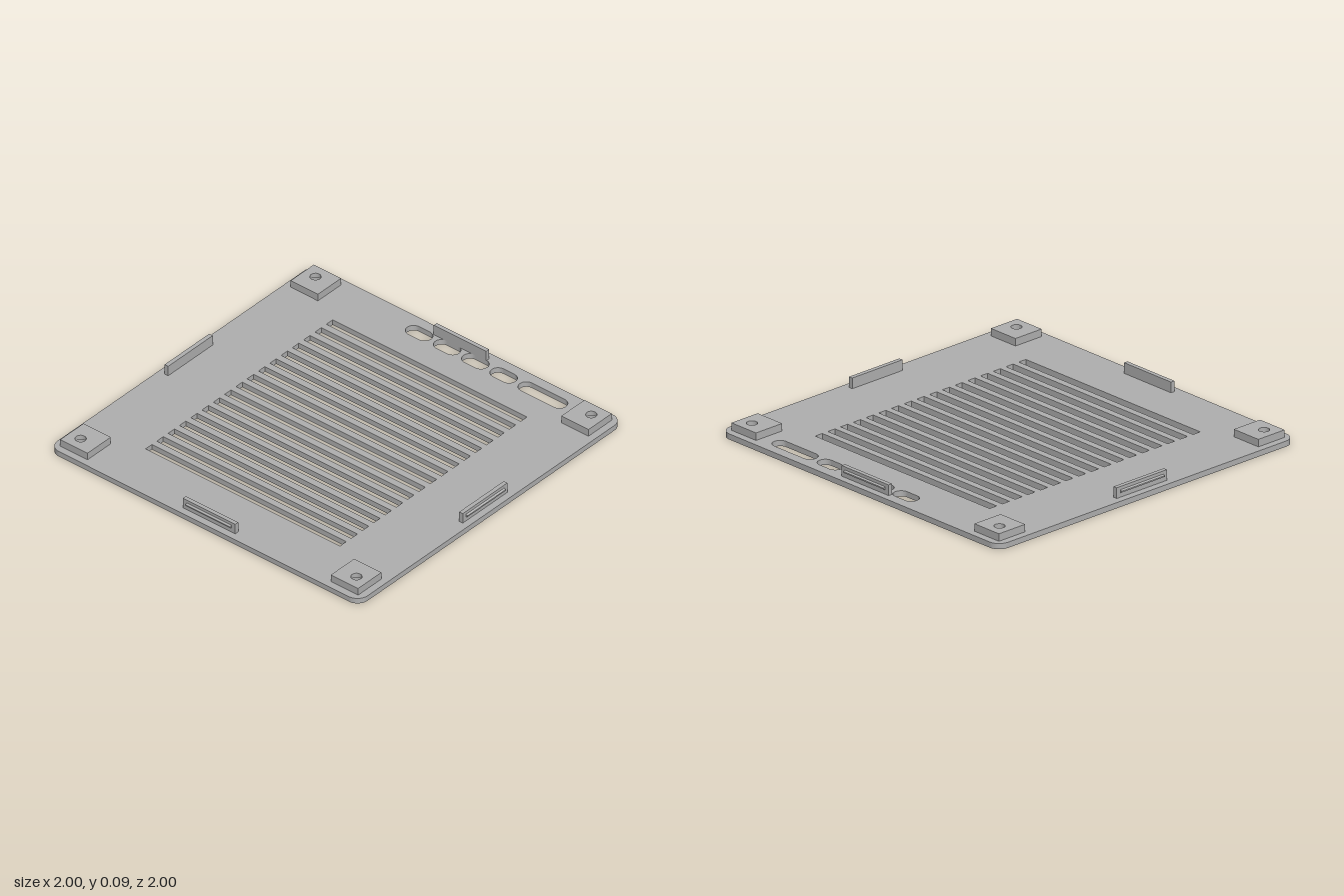
import * as THREE from 'three';

const PLATE_TOP = 0.03, PAD_TOP = 0.07, RECESS_TOP = 0.045;
const HOLE = 0.89, RECESS_R = 0.048, SCREW_R = 0.028;

// Rounded rectangle outline between two corners; r = 0 gives sharp corners
function outline(path, x0, y0, x1, y1, r = 0) {
  if (r === 0) {
    path.moveTo(x0, y0).lineTo(x1, y0).lineTo(x1, y1).lineTo(x0, y1);
  } else {
    path.absarc(x1 - r, y0 + r, r, -Math.PI / 2, 0, false);
    path.absarc(x1 - r, y1 - r, r, 0, Math.PI / 2, false);
    path.absarc(x0 + r, y1 - r, r, Math.PI / 2, Math.PI, false);
    path.absarc(x0 + r, y0 + r, r, Math.PI, Math.PI * 1.5, false);
  }
  path.closePath();
  return path;
}

const circle = (x, y, r) => new THREE.Path().absarc(x, y, r, 0, Math.PI * 2, true);

// Horizontal slab from a plan shape (shape y points to -z)
function slab(shape, y0, y1) {
  const geo = new THREE.ExtrudeGeometry(shape, { depth: y1 - y0, bevelEnabled: false, curveSegments: 16 });
  return geo.rotateX(-Math.PI / 2).translate(0, y0, 0);
}

export function createModel() {
  const model = new THREE.Group();
  model.name = 'ventedCover';
  const grey = new THREE.MeshStandardMaterial({ color: 0xb0b0b0 });
  grey.name = 'grey plastic';

  const add = (parent, name, geo) => {
    const mesh = new THREE.Mesh(geo, grey);
    mesh.name = name;
    parent.add(mesh);
    return mesh;
  };

  const corners = [[1, 1], [-1, 1], [-1, -1], [1, -1]];

  // Base plate with vent slots, port openings and screw recesses
  const plate = outline(new THREE.Shape(), -1, -1, 1, 1, 0.065);
  for (let i = -8; i <= 8; i++) {
    const y = i * 0.0856 + 0.002;
    plate.holes.push(outline(new THREE.Path(), -0.627, y - 0.024, 0.627, y + 0.024));
  }
  for (const [x0, x1] of [[-0.308, -0.155], [-0.127, 0.026], [0.055, 0.208], [0.237, 0.39], [0.419, 0.715]]) {
    plate.holes.push(outline(new THREE.Path(), x0, 0.861, x1, 0.943, 0.0409));
  }
  for (const [sx, sz] of corners) plate.holes.push(circle(sx * HOLE, sz * HOLE, RECESS_R));
  add(model, 'basePlate', slab(plate, 0, PLATE_TOP));

  // Corner screw pads: wide recess below, narrow screw hole above
  for (const [sx, sz] of corners) {
    const pad = new THREE.Group();
    pad.name = 'cornerPad';
    pad.position.set(sx * HOLE, 0, sz * HOLE);
    const cx = -sx * 0.017, cy = sz * 0.017, h = 0.088;
    const layer = (r) => {
      const s = outline(new THREE.Shape(), cx - h, cy - h, cx + h, cy + h);
      s.holes.push(circle(0, 0, r));
      return s;
    };
    add(pad, 'padBase', slab(layer(RECESS_R), PLATE_TOP, RECESS_TOP));
    add(pad, 'padTop', slab(layer(SCREW_R), RECESS_TOP, PAD_TOP));
    model.add(pad);
  }

  // Snap clips on the four edges, each with a bevelled ridge facing outward
  const ridge = new THREE.Shape();
  ridge.moveTo(0, 0.053).lineTo(0.01, 0.058).lineTo(0.01, 0.065).lineTo(0, 0.07).closePath();
  ['frontClip', 'leftClip', 'backClip', 'rightClip'].forEach((name, i) => {
    const clip = new THREE.Group();
    clip.name = name;
    const tab = new THREE.BoxGeometry(0.338, 0.057, 0.023);
    add(clip, 'clipTab', tab.translate(0, PLATE_TOP + 0.0285, 0.9505));
    const bar = new THREE.ExtrudeGeometry(ridge, { depth: 0.29, bevelEnabled: false });
    add(clip, 'clipRidge', bar.rotateY(-Math.PI / 2).translate(0.145, 0, 0.962));
    clip.rotation.y = i * Math.PI / 2;
    model.add(clip);
  });

  return model;
}
